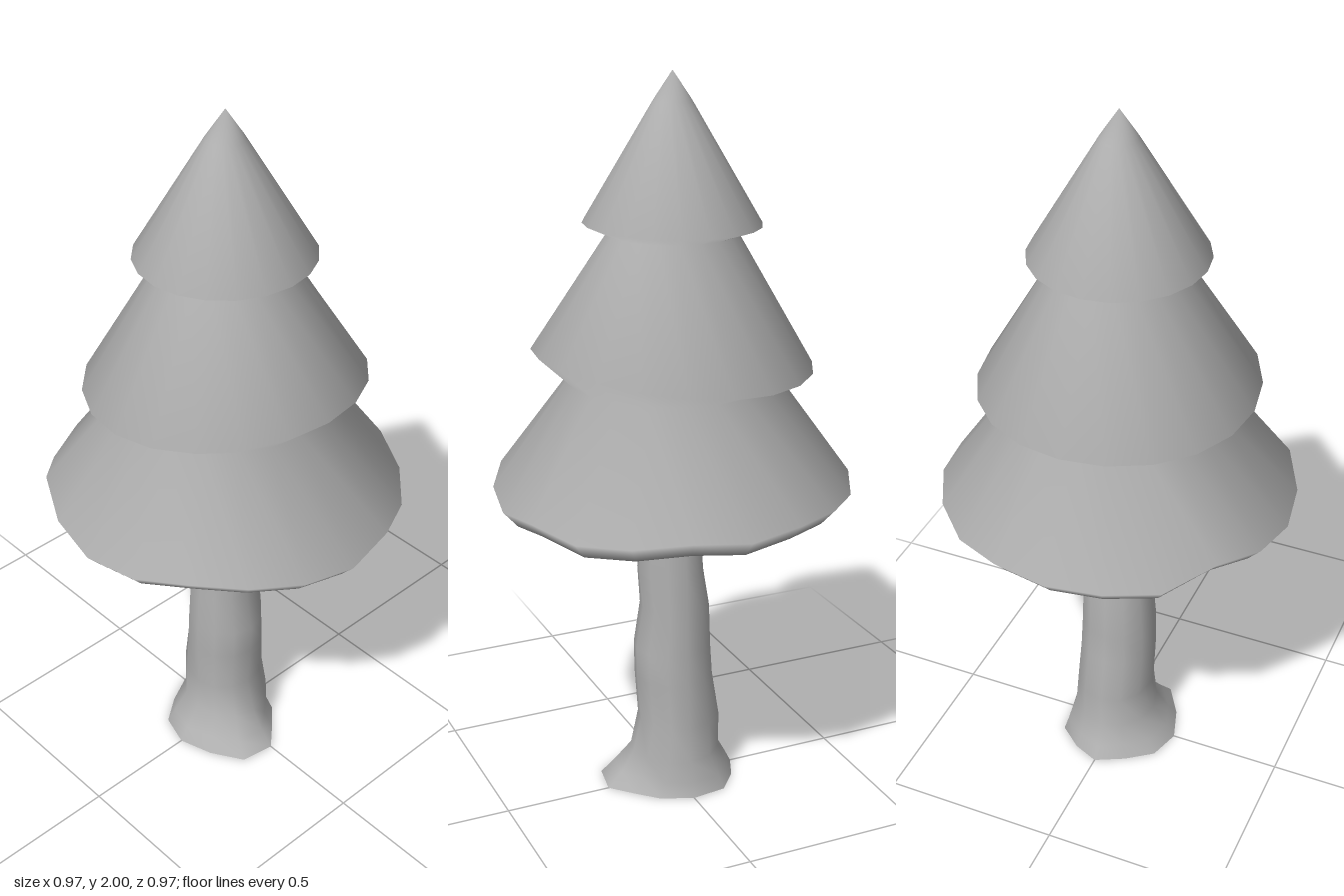
import * as THREE from 'three';
import { mergeVertices, toCreasedNormals } from 'three/addons/utils/BufferGeometryUtils.js';

// Lathe whose vertices are moved by a rule: place(row, angleIndex, vector)
function shapedLathe(profile, sides, place) {
  const geo = new THREE.LatheGeometry(profile.map(([r, y]) => new THREE.Vector2(r, y)), sides);
  const pos = geo.attributes.position;
  const v = new THREE.Vector3();
  const rows = profile.length;
  for (let i = 0; i < pos.count; i++) {
    v.fromBufferAttribute(pos, i);
    place(i % rows, Math.floor(i / rows) % sides, v);
    pos.setXYZ(i, v.x, v.y, v.z);
  }
  geo.deleteAttribute('uv');
  geo.deleteAttribute('normal');
  return mergeVertices(geo, 1e-4);
}

// Foliage: one continuous skin from the hollow underside over three skirts to the tip
const FOLIAGE = [
  [0, 1.0], [0.26, 0.975], [0.4, 0.915], // hollow underside
  [0.445, 0.86], [0.485, 0.905],         // lower lip and rim
  [0.28, 1.2], [0.375, 1.25],            // valley and middle rim
  [0.17, 1.588], [0.235, 1.613],         // valley and top rim
  [0.05, 1.925], [0, 2],                 // tip
];

// Lower hem heights, starting at the front and turning towards +x
const HEM = [0.855, 0.865, 0.89, 0.88, 0.86, 0.842, 0.86, 0.84, 0.85, 0.868,
  0.855, 0.868, 0.865, 0.855, 0.87, 0.865, 0.865, 0.86, 0.908, 0.875];

function foliage(material) {
  const sides = HEM.length;
  const geo = shapedLathe(FOLIAGE, sides, (row, k, v) => {
    const t = (k / sides) * Math.PI * 2;
    if (row === 3 || row === 4) v.y += HEM[k] - 0.86;
    if (row === 6) v.y += 0.03 * Math.sin(t) - 0.01 * Math.cos(2 * t);
    if (row === 8) v.y += 0.005 * Math.sin(t);
  });
  // Area-weighted smooth normals keep the cones even and the hems soft
  geo.computeVertexNormals();
  const mesh = new THREE.Mesh(geo, material);
  mesh.name = 'foliage';
  return mesh;
}

// Trunk rows: y, then reach towards -x, +x, -z, +z
const TRUNK = [
  [0, 0.185, 0.2, 0.15, 0.18],
  [0.04, 0.165, 0.16, 0.138, 0.155],
  [0.1, 0.132, 0.122, 0.128, 0.113],
  [0.2, 0.135, 0.098, 0.118, 0.106],
  [0.33, 0.112, 0.108, 0.11, 0.11],
  [0.42, 0.106, 0.11, 0.106, 0.108],
  [0.54, 0.102, 0.09, 0.102, 0.1],
  [0.65, 0.082, 0.1, 0.096, 0.092],
  [0.85, 0.07, 0.092, 0.08, 0.086],
  [1.0, 0.065, 0.086, 0.075, 0.08],
];

// Uneven root flare around the base
const ROOTS = [0, -0.04, 0.06, 0, -0.18, -0.12, 0, 0.06, -0.04, 0, -0.1, -0.02];

function trunk(material) {
  const profile = [[0, 0], ...TRUNK.map(([y]) => [1, y])];
  const geo = shapedLathe(profile, ROOTS.length, (row, k, v) => {
    if (row === 0) return;
    const [, left, right, back, front] = TRUNK[row - 1];
    const flare = row < 3 ? 1 + ROOTS[k] : 1;
    v.x *= (v.x < 0 ? left : right) * flare;
    v.z *= (v.z < 0 ? back : front) * flare;
  });
  const mesh = new THREE.Mesh(toCreasedNormals(geo, 1.0), material);
  mesh.name = 'trunk';
  return mesh;
}

export function createModel() {
  const group = new THREE.Group();
  group.name = 'pineTree';
  const material = new THREE.MeshStandardMaterial({ color: 0xb0b0b0 });
  group.add(trunk(material), foliage(material));
  return group;
}
